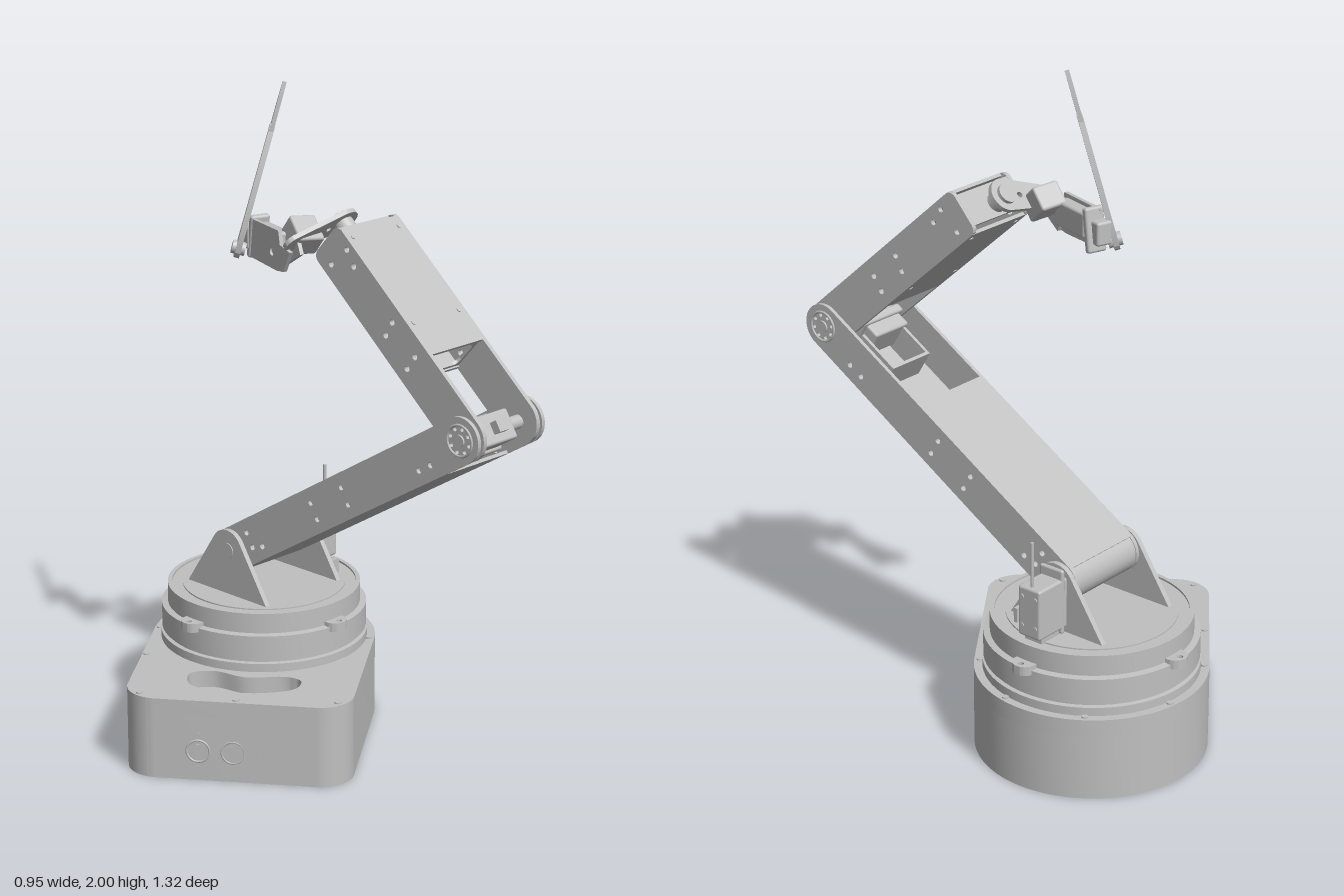
import * as THREE from 'three';
import { toCreasedNormals } from 'three/addons/utils/BufferGeometryUtils.js';
import { RoundedBoxGeometry } from 'three/addons/geometries/RoundedBoxGeometry.js';

const grey = new THREE.MeshStandardMaterial({ color: 0xc0c0c0, side: THREE.DoubleSide });
grey.name = 'light grey';
const V = (x, y, z) => new THREE.Vector3(x, y, z);
const CX = 0.132, CZ = -0.322; // turntable axis

function add(parent, name, geometry, x = 0, y = 0, z = 0) {
  const mesh = new THREE.Mesh(geometry, grey);
  mesh.name = name;
  mesh.position.set(x, y, z);
  parent.add(mesh);
  return mesh;
}
// group whose local x and y axes point along X and (roughly) Y
function frame(parent, name, origin, X, Y) {
  const g = new THREE.Group();
  g.name = name;
  const x = X.clone().normalize();
  const z = x.clone().cross(Y).normalize();
  g.quaternion.setFromRotationMatrix(new THREE.Matrix4().makeBasis(x, z.clone().cross(x), z));
  g.position.copy(origin);
  parent.add(g);
  return g;
}
const box = (p, n, w, h, d, x, y, z) => add(p, n, new THREE.BoxGeometry(w, h, d), x, y, z);
const block = (p, n, w, h, d, x, y, z) => add(p, n, new RoundedBoxGeometry(w, h, d, 2, 0.008), x, y, z);
const extrude = (shape, depth) => toCreasedNormals(
  new THREE.ExtrudeGeometry(shape, { depth, bevelEnabled: false, curveSegments: 24 }).translate(0, 0, -depth / 2), 0.5);
const plate = (p, n, shape, depth, z) => add(p, n, extrude(shape, depth), 0, 0, z);
// vertical extrusion of a shape drawn in (x, -z)
const slab = (p, n, shape, y0, y1) =>
  add(p, n, extrude(shape, y1 - y0).rotateX(-Math.PI / 2), 0, (y0 + y1) / 2, 0);
function disc(p, n, r, h, x, y, z, axis = 'y') {
  const g = new THREE.CylinderGeometry(r, r, h, 32);
  if (axis === 'z') g.rotateX(Math.PI / 2);
  if (axis === 'x') g.rotateZ(Math.PI / 2);
  return add(p, n, g, x, y, z);
}
function hole(shape, x, y, r) {
  shape.holes.push(new THREE.Path().absarc(x, y, r, 0, Math.PI * 2, true));
}
const polygon = (pts) => new THREE.Shape(pts.map(([x, y]) => new THREE.Vector2(x, y)));
// outline around a chain of circles [x, y, radius, start, end]
function arcs(list) {
  const s = new THREE.Shape();
  for (const a of list) s.absarc(a[0], a[1], a[2], a[3], a[4], false);
  return s;
}

function buildBase(root) {
  const t = -0.932, q = Math.PI / 2;
  const outline = () => arcs([[CX, -CZ, 0.343, t, t + 2 * q],
    [-0.375, 0.246, 0.1, t + 2 * q, t + 3 * q], [-0.095, -0.14, 0.1, t + 3 * q, t + 4 * q]]);
  slab(root, 'baseBody', outline(), 0, 0.2);
  // top layer with the kidney-shaped recess
  const top = outline();
  const kidney = new THREE.CatmullRomCurve3([[-0.31, 0.19], [-0.25, 0.25], [-0.19, 0.21], [-0.16, 0.11],
    [-0.07, 0.02], [-0.065, -0.03], [-0.12, -0.058], [-0.22, 0], [-0.29, 0.1]].map(([x, y]) => V(x, y, 0)), true);
  top.holes.push(new THREE.Path(kidney.getPoints(60).map((p) => new THREE.Vector2(p.x, p.y))));
  slab(root, 'baseTop', top, 0.2, 0.252);
  for (const [x, z] of [[-0.24, -0.455], [0.396, -0.51], [0.18, -0.645], [-0.063, -0.585], [0.452, -0.265],
    [0.326, -0.06], [-0.3, -0.006], [-0.105, 0.22], [-0.458, -0.25]]) disc(root, 'baseScrew', 0.01, 0.006, x, 0.253, z);
  // round ports on the slanted face
  const face = frame(root, 'ports', V(-0.455, 0, -0.186), V(0.597, 0, 0.802), V(0, 1, 0));
  for (const x of [0.126, 0.23, 0.335]) {
    add(face, 'portRing', new THREE.TorusGeometry(0.034, 0.004, 8, 32), x, 0.092, 0);
    box(face, 'portSlot', 0.012, 0.045, 0.008, x, 0.092, 0);
    for (const y of [0.04, 0.145]) disc(face, 'portScrew', 0.007, 0.006, x, y, 0, 'z');
  }
}

function buildTurntable(root) {
  const profile = [[0, 0.25], [0.318, 0.25], [0.318, 0.278], [0.305, 0.28], [0.305, 0.288], [0.315, 0.29],
    [0.315, 0.365], [0.296, 0.368], [0.296, 0.43], [0.283, 0.43], [0.283, 0.424], [0.25, 0.424], [0.25, 0.428], [0, 0.428]];
  add(root, 'turntable', toCreasedNormals(new THREE.LatheGeometry(
    profile.map(([x, y]) => new THREE.Vector2(x, y)), 72), 0.5), CX, 0, CZ);
  for (let i = 0; i < 4; i++) {
    const a = i * Math.PI / 2;
    const tab = frame(root, 'turntableTab', V(CX, 0, CZ), V(Math.cos(a), 0, Math.sin(a)), V(0, 1, 0));
    const s = arcs([[0.302, 0, 0.036, -Math.PI / 2, Math.PI / 2], [0.27, 0, 0.036, Math.PI / 2, Math.PI * 1.5]]);
    hole(s, 0.32, 0, 0.009);
    slab(tab, 'tabLug', s, 0.352, 0.38);
  }
  // shoulder brackets, drawn in (-z, y)
  const side = frame(root, 'shoulder', V(CX, 0, 0), V(0, 0, -1), V(0, 1, 0));
  const tri = new THREE.Shape();
  tri.moveTo(0.15, 0.425);
  tri.lineTo(0.49, 0.425);
  tri.absarc(0.318, 0.566, 0.065, 0.62, 2.5, false);
  hole(tri, 0.315, 0.566, 0.012);
  for (const m of [-1, 1]) {
    plate(side, 'shoulderBracket', tri, 0.016, m * 0.154);
    disc(side, 'shoulderPivot', 0.025, 0.05, 0.315, 0.566, m * 0.14, 'z');
  }
  // shoulder servo with its cable and connectors
  block(root, 'shoulderServo', 0.125, 0.155, 0.08, 0.353, 0.523, -0.321);
  block(root, 'servoFlange', 0.014, 0.2, 0.084, 0.312, 0.53, -0.321);
  box(root, 'servoFoot', 0.1, 0.02, 0.06, 0.345, 0.437, -0.321);
  for (const z of [-0.345, -0.297]) for (const y of [0.48, 0.57]) disc(root, 'servoScrew', 0.007, 0.006, 0.416, y, z, 'x');
  add(root, 'servoCable', new THREE.CylinderGeometry(0.005, 0.005, 0.14, 12), 0.4, 0.667, -0.321);
  for (const z of [-0.25, -0.23, -0.208]) box(root, 'connector', 0.05, 0.045, 0.012, 0.315, 0.45, z);
}

function buildLowerArm(root) {
  const L = 1.055, r = 0.068;
  const arm = frame(root, 'lowerArm', V(CX, 0.566, -0.312), V(0, 0.521, 0.853), V(0, -0.853, 0.521));
  const s = arcs([[L, 0, r, -Math.PI / 2, Math.PI / 2], [0, 0, r, Math.PI / 2, Math.PI * 1.5]]);
  for (const [x, y] of [[0.915, 0.026], [0.865, 0.026], [0.545, -0.027], [0.545, 0.027], [0.4, -0.025],
    [0.4, 0.027], [0.087, -0.028], [0.087, 0.02], [0.13, 0.03]]) hole(s, x, y, 0.009);
  for (let i = 0; i < 8; i++) hole(s, L + 0.035 * Math.cos(i * Math.PI / 4), 0.035 * Math.sin(i * Math.PI / 4), 0.006);
  for (const m of [-1, 1]) {
    plate(arm, 'lowerArmSide', s, 0.012, m * 0.1365);
    disc(arm, 'elbowHorn', 0.052, 0.024, L, 0, m * 0.118, 'z');
    disc(arm, 'elbowHub', 0.018, 0.02, L, 0, m * 0.138, 'z');
    add(arm, 'elbowRing', new THREE.TorusGeometry(0.045, 0.004, 8, 32), L, 0, m * 0.143);
  }
  box(arm, 'lowerArmUnderside', 0.98, 0.01, 0.275, 0.46, 0.063, 0);
  box(arm, 'lowerArmTop', 0.67, 0.01, 0.275, 0.325, -0.063, 0);
  // rolled end at the shoulder
  add(arm, 'lowerArmEnd', new THREE.CylinderGeometry(0.066, 0.066, 0.26, 32, 1, true, Math.PI, Math.PI)
    .rotateX(Math.PI / 2));
  // elbow servo held between the side plates
  block(arm, 'elbowServo', 0.16, 0.09, 0.14, 1.01, 0, -0.022);
  block(arm, 'elbowServoFlange', 0.03, 0.11, 0.17, 0.99, 0, -0.022);
  box(arm, 'elbowServoTab', 0.03, 0.035, 0.045, 1.1, 0, -0.018);
  disc(arm, 'elbowShaft', 0.02, 0.2, L, 0, 0.01, 'z');
  for (const m of [-1, 1]) box(arm, 'servoBracketSide', 0.14, 0.09, 0.01, 0.89, 0.012, m * 0.075);
  box(arm, 'servoBracketBack', 0.01, 0.09, 0.16, 0.82, 0.012, 0);
}

function buildUpperArm(root) {
  const L = 0.712, r = 0.07, q = Math.PI / 2;
  const arm = frame(root, 'upperArm', V(CX, 1.118, 0.587), V(0, 0.661, -0.752), V(0, 0.752, 0.661));
  const s = arcs([[L - 0.025, 0.045, 0.025, 0, q], [0, 0, r, q, 3 * q], [L - 0.025, -0.045, 0.025, -q, 0]]);
  for (const [x, y] of [[0.27, 0.022], [0.265, -0.027], [0.39, 0.027], [0.38, -0.02], [0.64, 0.045],
    [0.65, -0.035], [0.59, 0.03]]) hole(s, x, y, 0.009);
  for (const m of [-1, 1]) {
    plate(arm, 'upperArmSide', s, 0.014, m * 0.113);
    box(arm, 'upperArmCover', 0.455, 0.01, 0.235, 0.4675, m * 0.065, 0);
    for (const x of [0.35, 0.66]) for (const z of [-0.095, 0.095]) disc(arm, 'coverScrew', 0.007, 0.004, x, m * 0.0705, z);
  }
  box(arm, 'upperArmEnd', 0.01, 0.1, 0.22, L - 0.006, 0, 0);
  // frame with a rounded opening at the lower end of the covers
  const rim = polygon([[-0.108, -0.064], [0.108, -0.064], [0.108, 0.064], [-0.108, 0.064]]);
  rim.holes.push(arcs([[0.075, 0.03, 0.02, 0, q], [-0.075, 0.03, 0.02, q, 2 * q],
    [-0.075, -0.03, 0.02, 2 * q, 3 * q], [0.075, -0.03, 0.02, 3 * q, 4 * q]]));
  add(arm, 'upperArmFrame', extrude(rim, 0.01).rotateY(q), 0.25, 0, 0);
}

function buildWrist(root) {
  const d = V(0, 0.661, -0.752), q = Math.PI / 2;
  // rotating horn plate, lying across the end of the upper arm
  const wrist = frame(root, 'wrist', V(0.132, 1.605, 0.012), V(-0.95, -0.23, -0.2), d.clone().cross(V(-1, 0, 0)));
  const horn = arcs([[0, 0, 0.05, q, 3 * q], [0.17, 0, 0.032, -q, q]]);
  hole(horn, 0, 0, 0.01);
  hole(horn, 0.05, 0, 0.009);
  plate(wrist, 'wristHorn', horn, 0.014, 0.012);
  disc(wrist, 'wristShaft', 0.03, 0.06, 0, 0, 0, 'z');
  block(root, 'wristServo', 0.085, 0.075, 0.09, 0.03, 1.582, -0.055).rotation.set(0.72, -0.25, 0.1);
  // hand bracket and servo, drawn along the reach direction
  const hand = frame(root, 'hand', V(-0.025, 1.54, -0.02), V(0.3, 0, -0.95), V(0, 1, 0));
  const cheek = polygon([[-0.01, 0.01], [0.03, -0.055], [0.07, -0.06], [0.24, -0.055], [0.24, 0.06], [0.06, 0.06], [0.05, 0.02]]);
  hole(cheek, 0.1, -0.01, 0.012);
  plate(hand, 'handCheek', cheek, 0.012, -0.026);
  block(hand, 'handServo', 0.15, 0.075, 0.045, 0.145, 0.012, -0.002);
  box(hand, 'handLink', 0.1, 0.05, 0.012, 0.04, 0.0, 0.005).rotation.z = -0.5;
  block(hand, 'handFlange', 0.022, 0.13, 0.062, 0.236, 0.005, -0.005).rotation.z = 0.15;
  block(hand, 'handSpacer', 0.04, 0.07, 0.05, 0.255, 0.0, -0.015);
  // pointer
  const up = V(0.095, 0.49, -0.185 + 0.282).normalize();
  const pointer = frame(root, 'pointer', V(-0.005, 1.51, -0.282), V(0.7, 0, -0.7).cross(up).cross(up).negate(), up);
  const shaft = arcs([[0, 0, 0.03, Math.PI, 2 * Math.PI], [0.006, 0.08, 0.012, 0, 0.1],
    [0, 0.37, 0.012, 0, Math.PI], [-0.006, 0.08, 0.012, 3.04, Math.PI]]);
  hole(shaft, 0, 0, 0.009);
  plate(pointer, 'pointerShaft', shaft, 0.016, 0);
  plate(pointer, 'pointerBlade', polygon([[-0.015, 0.36], [0.015, 0.36], [0.014, 0.45], [0.004, 0.508], [-0.004, 0.508], [-0.014, 0.45]]), 0.012, 0);
  disc(pointer, 'pointerHub', 0.02, 0.04, 0, 0, 0, 'z');
}

export function createModel() {
  const root = new THREE.Group();
  root.name = 'robotArm';
  buildBase(root);
  buildTurntable(root);
  buildLowerArm(root);
  buildUpperArm(root);
  buildWrist(root);
  return root;
}
